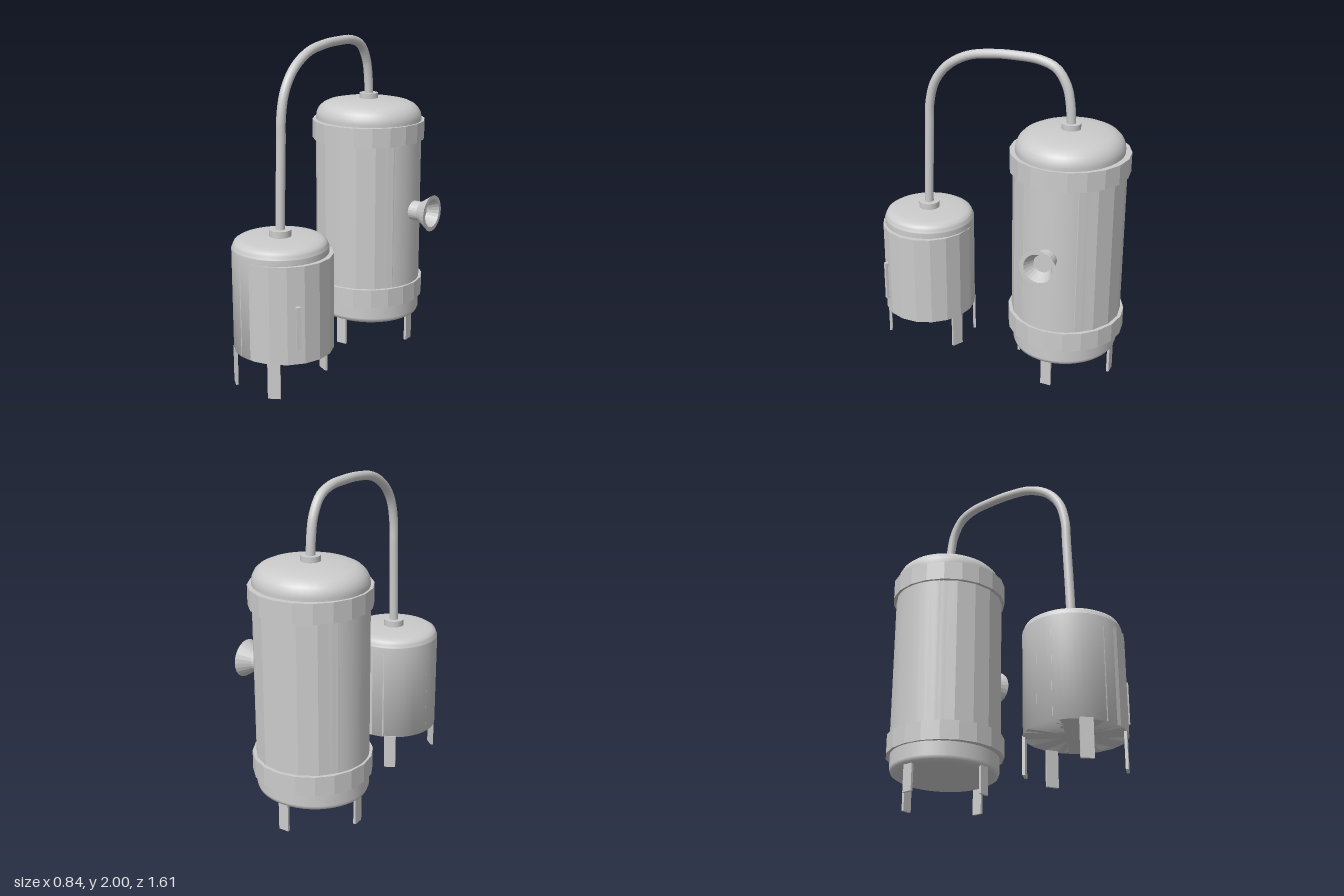
import * as THREE from 'three';

const grey = new THREE.MeshStandardMaterial({ color: 0xcccccc, side: THREE.DoubleSide });
const faceted = new THREE.MeshStandardMaterial({ color: 0xcccccc, side: THREE.DoubleSide, flatShading: true });
const CX = -0.06, BIG_Z = -0.443, SMALL_Z = 0.51;

function add(parent, name, geometry, x = 0, y = 0, z = 0, material = grey) {
  const mesh = new THREE.Mesh(geometry, material);
  mesh.name = name;
  mesh.position.set(x, y, z);
  parent.add(mesh);
  return mesh;
}

// Cylinder given by its bottom and top heights
function drum(parent, name, r, y0, y1, sides, material = grey) {
  return add(parent, name, new THREE.CylinderGeometry(r, r, y1 - y0, sides), 0, (y0 + y1) / 2, 0, material);
}

// Profile points are [radius, height]
function lathe(points, sides = 48) {
  return new THREE.LatheGeometry(points.map(([r, y]) => new THREE.Vector2(r, y)), sides);
}

// Flat leg facing outward from the tank axis
function leg(parent, x, z, height, width, angle = Math.atan2(x, z)) {
  const mesh = add(parent, 'leg', new THREE.BoxGeometry(width, height, 0.016), x, height / 2, z);
  mesh.rotation.y = angle;
}

function createTallTank() {
  const tank = new THREE.Group();
  tank.name = 'tallTank';
  tank.position.set(CX, 0, BIG_Z);

  // Slightly oval vessel with rounded ends
  const vessel = add(tank, 'vessel', lathe([
    [0, 0.15], [0.27, 0.152], [0.315, 0.16], [0.337, 0.173], [0.345, 0.195],
    [0.345, 1.46], [0.34, 1.49], [0.325, 1.518], [0.3, 1.541],
    [0.265, 1.557], [0.2, 1.57], [0.1, 1.578], [0, 1.58],
  ]));
  vessel.scale.z = 0.936;

  // Faceted jacket and the two clamping bands
  drum(tank, 'jacket', 0.34, 0.38, 1.35, 18, faceted);
  drum(tank, 'lowerBand', 0.361, 0.28, 0.4, 20, faceted);
  drum(tank, 'upperBand', 0.361, 1.325, 1.445, 20, faceted);
  drum(tank, 'pipeCollar', 0.058, 1.56, 1.612, 32);

  // Four legs
  for (const s of [-1, 1]) {
    leg(tank, s * 0.316, 0, 0.2, 0.065);
    leg(tank, 0, s * 0.305, 0.2, 0.065);
  }

  // Flared funnel on the left side
  const funnel = add(tank, 'funnel', lathe([
    [0.062, 0], [0.062, 0.07], [0.116, 0.15], [0.09, 0.15], [0.055, 0.08], [0, 0.08],
  ], 24), 0.33, 0.885, 0, faceted);
  funnel.rotation.z = -Math.PI / 2;
  return tank;
}

function createSmallTank() {
  const tank = new THREE.Group();
  tank.name = 'smallTank';
  tank.position.set(CX, 0, SMALL_Z);

  // Round body with a domed lid
  add(tank, 'vessel', lathe([
    [0, 0.217], [0.287, 0.217], [0.287, 0.838], [0.281, 0.84], [0.279, 0.857], [0.27, 0.873],
    [0.25, 0.885], [0.215, 0.893], [0.12, 0.899], [0, 0.902],
  ]));

  // Faceted outer shell, set off toward the left side
  const shell = drum(tank, 'outerShell', 0.291, 0.217, 0.805, 18, faceted);
  shell.position.x = 0.016;
  shell.scale.x = 1.04;
  drum(tank, 'pipeCollar', 0.065, 0.885, 0.94, 32);

  // Four legs
  for (const [x, z] of [[0.13, 0.25], [-0.19, 0.205], [0.13, -0.25], [-0.13, -0.25]]) {
    leg(tank, x, z, 0.225, 0.075);
  }

  // Bracket handle: grip and two standoffs
  const handle = new THREE.Group();
  handle.name = 'handle';
  handle.position.set(0.245, 0.4425, 0.175);
  handle.rotation.y = Math.atan2(0.245, 0.175);
  add(handle, 'grip', new THREE.BoxGeometry(0.026, 0.255, 0.016), 0, 0, 0.022);
  for (const s of [-1, 1]) {
    add(handle, 'standoff', new THREE.BoxGeometry(0.026, 0.018, 0.05), 0, s * 0.1185, 0.004);
  }
  tank.add(handle);
  return tank;
}

export function createModel() {
  const model = new THREE.Group();
  model.name = 'still';
  model.add(createTallTank(), createSmallTank());

  // Pipe arching from lid to lid
  const path = new THREE.CatmullRomCurve3([
    [0.51, 0.9], [0.503, 1.15], [0.491, 1.45], [0.485, 1.6], [0.448, 1.74], [0.36, 1.855],
    [0.22, 1.935], [0.05, 1.966], [-0.1, 1.972], [-0.24, 1.965], [-0.345, 1.925],
    [-0.41, 1.83], [-0.435, 1.72], [-0.445, 1.57],
  ].map(([z, y]) => new THREE.Vector3(CX, y, z)));
  add(model, 'pipe', new THREE.TubeGeometry(path, 64, 0.028, 16));
  return model;
}
